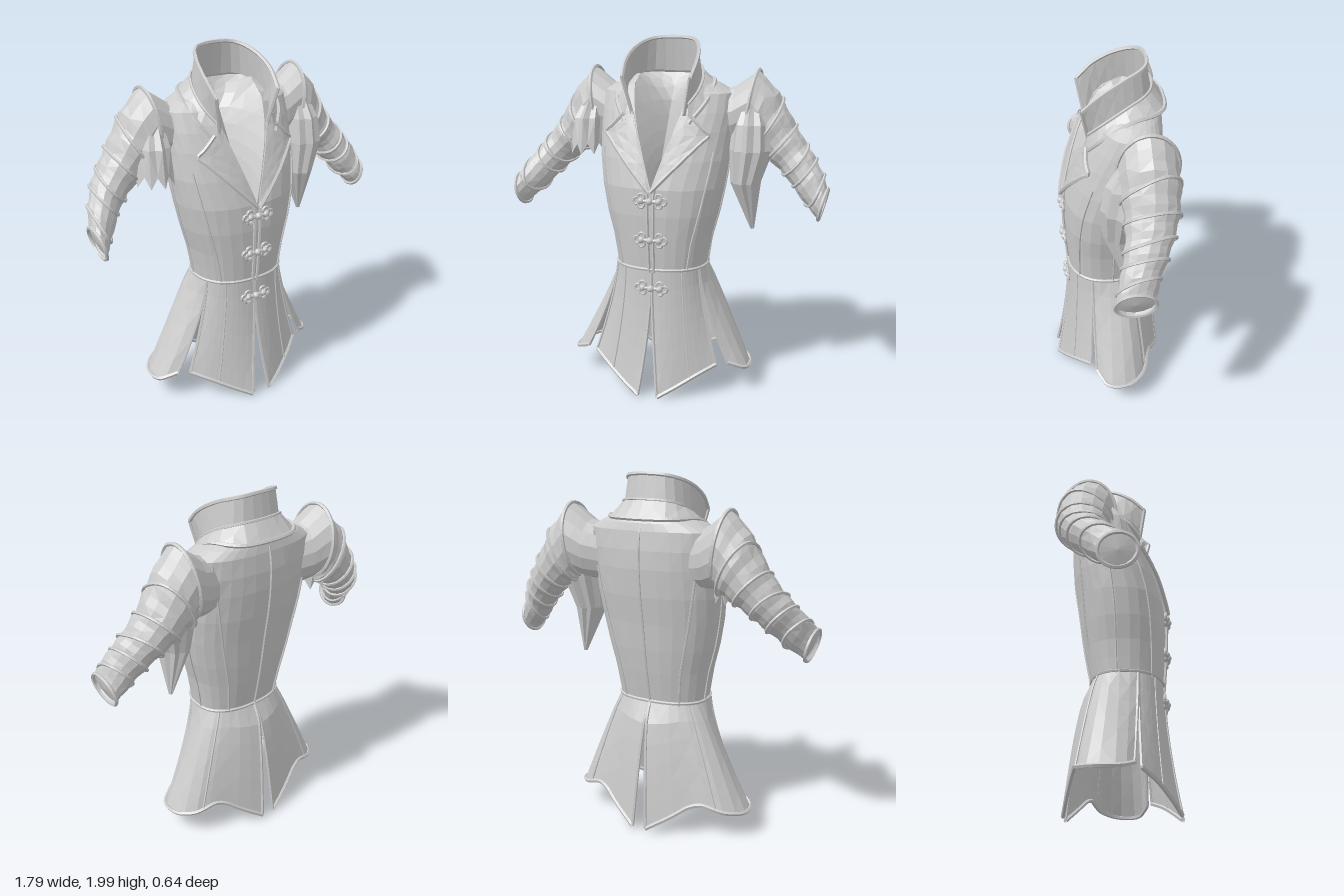
import * as THREE from 'three';

const V = (x, y, z) => new THREE.Vector3(x, y, z);
const mat = new THREE.MeshStandardMaterial({ color: 0xcccccc, flatShading: true, side: THREE.DoubleSide });
const lerp = THREE.MathUtils.lerp;

function add(group, name, geo) {
  const m = new THREE.Mesh(geo, mat);
  m.name = name;
  group.add(m);
  return m;
}

// faceted sheet from f(u, v) -> Vector3
function sheet(nu, nv, f) {
  const pos = [], idx = [];
  for (let j = 0; j <= nv; j++) for (let i = 0; i <= nu; i++) pos.push(...f(i / nu, j / nv).toArray());
  for (let j = 0; j < nv; j++) for (let i = 0; i < nu; i++) {
    const a = j * (nu + 1) + i, b = a + 1, c = a + nu + 1, d = c + 1;
    if ((i + j) % 2) idx.push(a, b, c, b, d, c); else idx.push(a, b, d, a, d, c);
  }
  const g = new THREE.BufferGeometry();
  g.setAttribute('position', new THREE.Float32BufferAttribute(pos, 3));
  g.setIndex(idx);
  const flat = g.toNonIndexed();
  flat.computeVertexNormals();
  return flat;
}
const curve = (pts, closed = false) => new THREE.CatmullRomCurve3(pts, closed, 'centripetal');
const piping = (pts, r = 0.009, closed = false) => new THREE.TubeGeometry(curve(pts, closed), pts.length * 3, r, 5, closed);
const sample = (n, f) => Array.from({ length: n + 1 }, (_, i) => f(i / n));

// torso sections: y, half width, front z, back z, widest z, neckline half width
const SECTIONS = [
  [0.73, 0.255, 0.225, -0.165, 0.0, 0], [0.9, 0.28, 0.238, -0.2, 0.0, 0], [1.05, 0.32, 0.245, -0.225, 0.0, 0],
  [1.2, 0.35, 0.24, -0.245, -0.01, 0], [1.35, 0.37, 0.205, -0.27, -0.03, 0.05], [1.5, 0.375, 0.16, -0.285, -0.06, 0.1],
  [1.6, 0.38, 0.12, -0.285, -0.09, 0.13], [1.7, 0.375, 0.07, -0.275, -0.11, 0.15], [1.74, 0.3, 0.04, -0.265, -0.12, 0.16],
  [1.79, 0.19, -0.02, -0.235, -0.13, 0.16]];
function section(y) {
  let k = 0;
  while (k < SECTIONS.length - 2 && y > SECTIONS[k + 1][0]) k++;
  const A = SECTIONS[k], B = SECTIONS[k + 1];
  const t = THREE.MathUtils.clamp((y - A[0]) / (B[0] - A[0]), 0, 1);
  return A.map((a, i) => lerp(a, B[i], t));
}
const POW = 0.85;
// point on the torso: a = 0 at centre front, PI at centre back
function body(s, y, a, out = 0) {
  const [, w, zf, zb, zc] = section(y);
  const c = Math.cos(a), cz = Math.sign(c) * Math.abs(c) ** POW;
  const x = (w + out) * Math.max(Math.sin(a), 0) ** POW;
  return V(s * x, y, zc + (c > 0 ? zf - zc + out : zc - zb + out) * cz);
}
const angleAt = (y, x) => Math.asin(Math.min(1, x / section(y)[1]) ** (1 / POW));
const neckAngle = (y) => angleAt(y, section(y)[5]);

function buildTorso(g, s) {
  const ys = [0.73, 0.82, 0.92, 1.05, 1.2, 1.28, 1.35, 1.43, 1.5, 1.6, 1.7, 1.74, 1.79];
  add(g, 'torsoHalf', sheet(14, ys.length - 1, (u, v) => {
    const y = ys[Math.round(v * (ys.length - 1))];
    return body(s, y, lerp(neckAngle(y), Math.PI, u));
  }));
  // seams and edges
  add(g, 'frontSeam', piping(sample(8, t => body(s, lerp(0.73, 1.4, t), lerp(0.75, 0.95, t), 0.002)), 0.006));
  add(g, 'sideSeam', piping(sample(8, t => body(s, lerp(0.73, 1.4, t), 1.6, 0.002)), 0.006));
  add(g, 'backSeam', piping(sample(10, t => body(s, lerp(0.73, 1.68, t), lerp(2.5, 2.15, t * t), 0.002)), 0.007));
  add(g, 'frontEdge', piping(sample(12, t => {
    const y = lerp(0.73, 1.6, t);
    return body(s, y, neckAngle(y) + 0.03, 0.004);
  }), 0.009));
  add(g, 'waistSeam', piping(sample(12, t => body(s, 0.745, t * Math.PI, 0.003)), 0.009));
  // lapel lying on the chest
  const outer = y => y < 1.49 ? lerp(0.005, 0.275, (y - 1.19) / 0.3) : lerp(0.275, 0.18, (y - 1.49) / 0.1);
  const onChest = (y, x, lift) => body(s, y, angleAt(y, x), lift);
  add(g, 'lapel', sheet(3, 8, (u, v) => {
    const y = lerp(1.19, 1.59, v);
    return onChest(y, lerp(section(y)[5], outer(y), u), 0.012 + 0.012 * u);
  }));
  add(g, 'lapelEdge', piping(sample(12, t => {
    const y = lerp(1.19, 1.59, t);
    return onChest(y, outer(y), 0.022);
  }), 0.011));
}

// inner cloth running steeply from the back neck down to the top clasp
function buildLining(g) {
  const rim = (s, v) => v < 0.7
    ? body(s, lerp(1.2, 1.79, v / 0.7), neckAngle(lerp(1.2, 1.79, v / 0.7)))
    : body(s, 1.79, lerp(neckAngle(1.79), Math.PI, (v - 0.7) / 0.3));
  for (const s of [1, -1]) add(g, 'neckLining', sheet(4, 16, (u, v) =>
    rim(s, v).lerp(V(0, lerp(1.19, 1.79, v), lerp(0.13, -0.235, v)), u)));
}

function buildSkirt(g, s) {
  const k = s < 0 ? 1.07 : 1;
  const slit = 1.15;
  const panels = [
    { name: 'frontSkirtPanel', a0: 0, a1: slit, p: t => lerp(1.7, 1.4, t),
      hem: [V(0.055, 0.02, 0.31), V(0.15, 0.075, 0.265), V(0.26, 0.14, 0.2), V(0.35, 0.185, 0.13)] },
    { name: 'backSkirtPanel', a0: slit, a1: Math.PI, p: t => lerp(1.4, 0.48, Math.min(1, t * 1.3)),
      hem: [V(0.41, 0.19, 0.1), V(0.5, 0.15, 0.04), V(0.505, 0.15, -0.08), V(0.43, 0.17, -0.17),
        V(0.3, 0.2, -0.21), V(0.16, 0.11, -0.265), V(0.04, 0.03, -0.305)] }];
  for (const { name, a0, a1, p, hem } of panels) {
    const hemCurve = curve(hem);
    const at = (u, v) => {
      const top = body(s, 0.745, lerp(a0, a1, u)), low = hemCurve.getPoint(u), h = v ** p(u);
      return V(lerp(top.x, s * k * low.x, v ** Math.max(p(u), 0.9)), lerp(top.y, low.y, v), lerp(top.z, low.z, h));
    };
    add(g, name, sheet(10, 6, at));
    add(g, name + 'Hem', piping(sample(14, t => at(t, 1)), 0.012));
    for (const u of [0, 1]) add(g, name + 'Edge', piping(sample(8, t => at(u, t)), 0.009));
    add(g, name + 'Seam', piping(sample(8, t => at(0.55, t)), 0.006));
  }
}

function buildSleeve(g, s) {
  // rings: x, y, z, radius, depth radius, tilt in degrees
  const R = [[0.27, 1.55, -0.12, 0.15, 0.11, 0], [0.36, 1.57, -0.135, 0.165, 0.135, 0], [0.45, 1.62, -0.15, 0.2, 0.15, 8],
    [0.51, 1.55, -0.155, 0.17, 0.15, 28], [0.583, 1.463, -0.155, 0.132, 0.14, 40], [0.66, 1.382, -0.14, 0.108, 0.125, 42],
    [0.732, 1.305, -0.11, 0.098, 0.112, 42], [0.803, 1.21, -0.07, 0.092, 0.1, 36], [0.867, 1.12, -0.045, 0.085, 0.098, 14]];
  if (s < 0) { R[7][2] += 0.04; R[8][2] += 0.105; }
  const n = R.length - 1;
  const at = (u, v, grow = 0) => {
    const k = Math.min(Math.floor(v * n + 1e-6), n - 1), f = v * n - k;
    const [x, y, z, r, d, deg] = R[k].map((a, i) => lerp(a, R[k + 1][i], f));
    const th = u * Math.PI * 2, t = deg * Math.PI / 180;
    // soft folds between the straps
    const fold = (v > 0.3 && v < 0.97 ? 0.04 * Math.cos(f * Math.PI * 2 + 2 * Math.sin(th)) : 0) + 1;
    const c = Math.cos(th) * (r * fold + grow);
    return V(s * (x + c * Math.sin(t)), y + c * Math.cos(t), z + Math.sin(th) * (d * fold + grow));
  };
  const hoop = (k, slant, r) => piping(sample(13, t => {
    const u = t * 13 / 14;
    return at(u, Math.min(1, (k + slant * Math.sin(u * Math.PI * 2)) / n), 0.003);
  }), r, true);
  add(g, 'sleeve', sheet(14, n * 3, at));
  [3.3, 4.4, 5.5, 6.3, 7.2].forEach((k, i) => add(g, 'sleeveStrap', hoop(k, i % 2 ? 0.12 : 0.28, 0.009)));
  add(g, 'cuffEdge', hoop(n, 0, 0.01));
  add(g, 'cuffLining', sheet(14, 1, (u, v) => at(u, 0.985).lerp(V(s * R[n][0], R[n][1], R[n][2]), v)));
  add(g, 'shoulderSeam', hoop(2, 0, 0.011));

  // pleated drape hanging below the shoulder: y, x, z, radius x, radius z
  const D = s > 0
    ? [[1.68, 0.46, -0.13, 0.05, 0.1], [1.54, 0.465, -0.09, 0.105, 0.145], [1.4, 0.465, -0.06, 0.115, 0.14],
      [1.22, 0.44, -0.04, 0.08, 0.105], [0.95, 0.48, -0.06, 0.01, 0.012]]
    : [[1.68, 0.46, -0.13, 0.05, 0.1], [1.54, 0.48, -0.09, 0.1, 0.145], [1.38, 0.485, -0.06, 0.11, 0.145]];
  add(g, 'shoulderDrape', sheet(20, D.length - 1, (u, v) => {
    const row = Math.round(v * (D.length - 1)), i = Math.round(u * 20), th = u * Math.PI * 2;
    const [y, x, z, rx, rz] = D[row], pleat = i % 2 ? 1.05 : 0.92;
    const drop = s < 0 && row === D.length - 1 ? (i % 2 ? -0.04 : 0.02) : 0;
    return V(s * (x + rx * pleat * Math.cos(th)), y + drop, z + rz * pleat * Math.sin(th));
  }));
}

function buildCollar(g) {
  const whole = half => curve([...half.slice(1).reverse().map(p => V(-p.x, p.y, p.z)), ...half]);
  const top = whole([V(0, 1.99, -0.195), V(0.12, 1.98, -0.17), V(0.18, 1.94, -0.06), V(0.2, 1.87, 0.06), V(0.19, 1.79, 0.145)]);
  const base = whole([V(0, 1.8, -0.225), V(0.14, 1.8, -0.19), V(0.2, 1.76, -0.07), V(0.195, 1.67, 0.04), V(0.145, 1.58, 0.105)]);
  const fallTop = whole([V(0, 1.86, -0.225), V(0.14, 1.85, -0.19), V(0.205, 1.8, -0.07), V(0.21, 1.72, 0.05), V(0.17, 1.65, 0.115)]);
  const fallHem = whole([V(0, 1.765, -0.29), V(0.18, 1.765, -0.255), V(0.265, 1.755, -0.09), V(0.255, 1.66, 0.055), V(0.18, 1.55, 0.14)]);
  const between = (a, b) => (u, v) => a.getPoint(u).lerp(b.getPoint(u), v);
  add(g, 'collarStand', sheet(20, 3, between(base, top)));
  add(g, 'collarFall', sheet(20, 2, between(fallTop, fallHem)));
  for (const [c, r] of [[top, 0.011], [fallTop, 0.008], [fallHem, 0.012]])
    add(g, 'collarEdge', piping(sample(18, t => c.getPoint(t)), r));
  for (const u of [0, 1]) add(g, 'collarFrontEdge', piping(sample(4, t => between(base, top)(u, t)), 0.011));
}

// frog clasp: loops and knots on both sides of the front edge
function buildClasp(g, y, z) {
  const clasp = new THREE.Group();
  clasp.name = 'frogClasp';
  for (const s of [-1, 1]) {
    for (const [x, dy] of [[0.075, 0], [0.05, 0.02], [0.05, -0.02]]) {
      add(clasp, 'claspLoop', new THREE.TorusGeometry(0.018, 0.008, 5, 10)).position.set(s * x, dy, -0.005);
    }
    add(clasp, 'claspKnot', new THREE.IcosahedronGeometry(0.018, 1)).position.set(s * 0.05, 0, 0);
  }
  add(clasp, 'claspBar', new THREE.CylinderGeometry(0.01, 0.01, 0.1, 6)).rotation.z = Math.PI / 2;
  add(clasp, 'claspButton', new THREE.IcosahedronGeometry(0.02, 1)).position.z = 0.005;
  clasp.position.set(0, y, z);
  g.add(clasp);
}

export function createModel() {
  const jacket = new THREE.Group();
  jacket.name = 'jacket';
  const coat = new THREE.Group();
  coat.name = 'coatBody';
  coat.position.x = -0.02;
  jacket.add(coat);
  for (const s of [1, -1]) {
    buildTorso(coat, s);
    buildSkirt(coat, s);
    buildSleeve(jacket, s);
  }
  add(coat, 'centreBackSeam', piping(sample(10, t => body(1, lerp(0.73, 1.78, t), Math.PI, 0.002)), 0.007));
  buildLining(coat);
  buildCollar(coat);
  for (const [y, z] of [[1.14, 0.255], [0.92, 0.25], [0.64, 0.24]]) buildClasp(coat, y, z);
  return jacket;
}
